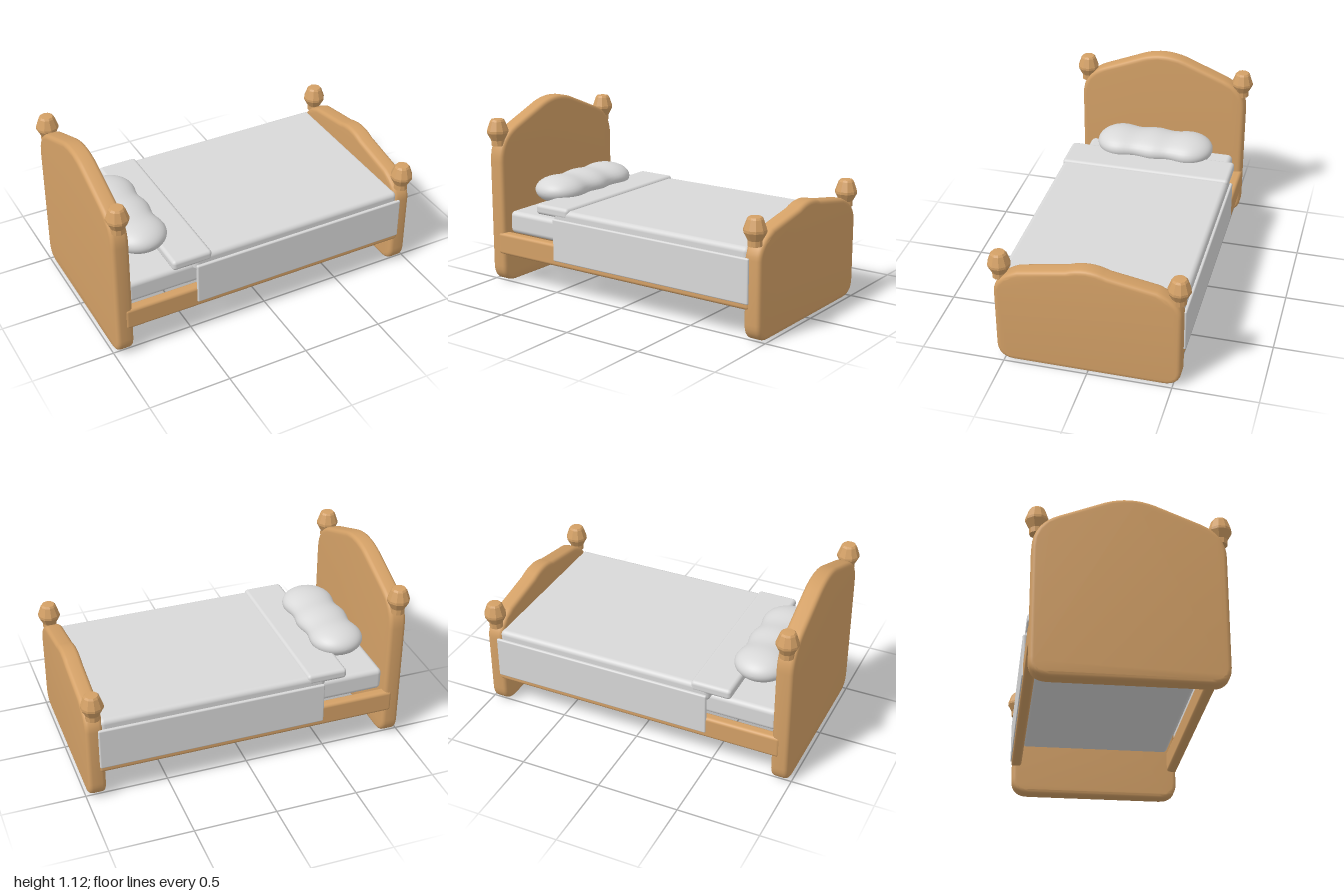
import * as THREE from 'three';
import { toCreasedNormals } from 'three/addons/utils/BufferGeometryUtils.js';
import { RoundedBoxGeometry } from 'three/addons/geometries/RoundedBoxGeometry.js';

const wood = new THREE.MeshStandardMaterial({ color: 0xd3a066 });
wood.name = 'warm wood';
const linen = new THREE.MeshStandardMaterial({ color: 0xd8d8d8 });
linen.name = 'pale grey linen';

function addMesh(parent, name, geometry, material) {
  const mesh = new THREE.Mesh(geometry, material);
  mesh.name = name;
  parent.add(mesh);
  return mesh;
}

// Soft-edged block given by its [min, max] extents
function block(parent, name, [x0, x1], [y0, y1], [z0, z1], radius, material) {
  const geometry = new RoundedBoxGeometry(x1 - x0, y1 - y0, z1 - z0, 4, radius);
  const mesh = addMesh(parent, name, geometry, material);
  mesh.position.set((x0 + x1) / 2, (y0 + y1) / 2, (z0 + z1) / 2);
  return mesh;
}

// Arched end board: crest height, shoulder point and height where the sides begin to curve
function endBoard(crest, crestHalf, shoulderY, sideY) {
  const w = 0.545, c = 0.11, bevel = 0.025, depth = 0.105;
  const s = new THREE.Shape();
  s.moveTo(-w + c, 0.005);
  s.lineTo(w - c, 0.005);
  s.quadraticCurveTo(w, 0.005, w, c);
  s.lineTo(w, sideY);
  s.quadraticCurveTo(w, shoulderY - 0.06, 0.4, shoulderY);
  s.lineTo(crestHalf, crest - 0.025);
  s.quadraticCurveTo(0, crest + 0.025, -crestHalf, crest - 0.025);
  s.lineTo(-0.4, shoulderY);
  s.quadraticCurveTo(-w, shoulderY - 0.06, -w, sideY);
  s.lineTo(-w, c);
  s.quadraticCurveTo(-w, 0.005, -w + c, 0.005);
  const geometry = new THREE.ExtrudeGeometry(s, {
    depth: depth - 2 * bevel, bevelEnabled: true, bevelThickness: bevel,
    bevelSize: bevel, bevelOffset: -bevel, bevelSegments: 4, curveSegments: 8,
  });
  geometry.translate(0, 0, -(depth - 2 * bevel) / 2);
  geometry.rotateY(Math.PI / 2);
  return toCreasedNormals(geometry, 0.6);
}

// Faceted knob for the top corners of the boards
function knobGeometry() {
  const profile = [
    [0, -0.03], [0.042, -0.03], [0.042, 0.003], [0.067, 0.05], [0.067, 0.065],
    [0.047, 0.122], [0.038, 0.133], [0, 0.136],
  ].map(([r, y]) => new THREE.Vector2(r, y));
  return toCreasedNormals(new THREE.LatheGeometry(profile, 10), 0.2);
}

// Three-lobed cushion: a waisted capsule turned along z and flattened
function pillowGeometry() {
  const profile = [], n = 40, half = 0.38, cap = 0.16;
  for (let i = 0; i <= n; i++) {
    const z = -half * Math.cos((Math.PI * i) / n);
    const over = Math.max(0, Math.abs(z) - (half - cap)) / cap;
    const lobe = 0.155 + 0.008 * Math.cos((2 * Math.PI * Math.min(Math.abs(z), 0.22)) / 0.22);
    profile.push(new THREE.Vector2(lobe * Math.sqrt(Math.max(0, 1 - over * over)), z));
  }
  const geometry = new THREE.LatheGeometry(profile, 32);
  geometry.rotateX(Math.PI / 2);
  geometry.scale(1, 0.53, 1);
  return geometry;
}

export function createModel() {
  const bed = new THREE.Group();
  bed.name = 'bed';

  // Head and foot boards
  addMesh(bed, 'headboard', endBoard(1.12, 0.14, 0.99, 0.78), wood).position.x = -0.933;
  addMesh(bed, 'footboard', endBoard(0.71, 0.12, 0.635, 0.48), wood).position.x = 0.933;

  // Corner knobs
  const knob = knobGeometry();
  for (const [name, x, y] of [['headKnob', -0.933, 0.91], ['footKnob', 0.933, 0.59]]) {
    for (const side of [-1, 1]) {
      addMesh(bed, name, knob, wood).position.set(x, y, side * 0.517);
    }
  }

  // Side rails and hanging blanket sides
  for (const side of [-1, 1]) {
    const span = (a, b) => (side > 0 ? [a, b] : [-b, -a]);
    block(bed, 'sideRail', [-0.93, 0.92], [0.19, 0.33], span(0.485, 0.55), 0.02, wood);
    block(bed, 'blanketSide', [-0.475, 0.915], [0.225, 0.49], span(0.535, 0.557), 0.009, linen);
  }

  // Bedding
  block(bed, 'mattress', [-0.885, 0.885], [0.32, 0.46], [-0.485, 0.485], 0.03, linen);
  block(bed, 'blanket', [-0.485, 0.9], [0.44, 0.545], [-0.54, 0.54], 0.03, linen);
  block(bed, 'blanketFold', [-0.62, -0.37], [0.495, 0.56], [-0.542, 0.542], 0.022, linen);
  addMesh(bed, 'pillow', pillowGeometry(), linen).position.set(-0.685, 0.58, 0);

  return bed;
}
